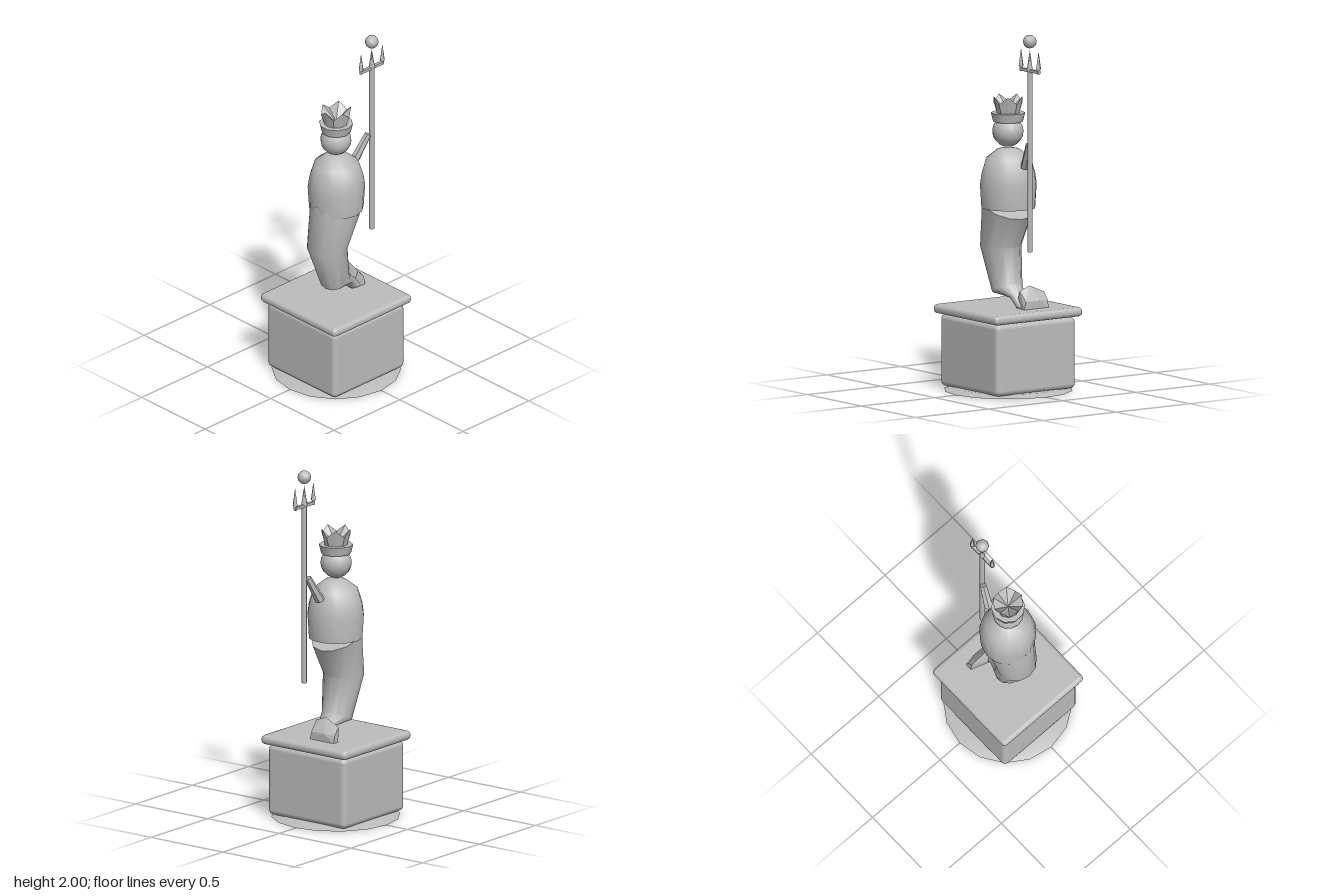
import * as THREE from 'three';
import { toCreasedNormals } from 'three/addons/utils/BufferGeometryUtils.js';
import { RoundedBoxGeometry } from 'three/addons/geometries/RoundedBoxGeometry.js';
import { ConvexGeometry } from 'three/addons/geometries/ConvexGeometry.js';

const V = (x, y, z) => new THREE.Vector3(x, y, z);

// Closed skin over rings of points, listed from bottom to top, with a centre point for each end
function loft(rings, bottom, top, crease) {
  const n = rings[0].length;
  const points = [...rings.flat(), bottom, top];
  const low = points.length - 2, high = low + 1, last = (rings.length - 1) * n;
  const index = [];
  for (let i = 0; i < n; i++) {
    const j = (i + 1) % n;
    for (let r = 0; r < last; r += n) {
      index.push(r + i, r + n + i, r + j, r + j, r + n + i, r + n + j);
    }
    index.push(low, i, j, high, last + j, last + i);
  }
  const geometry = new THREE.BufferGeometry().setFromPoints(points);
  geometry.setIndex(index);
  return toCreasedNormals(geometry, crease);
}

// Ring of n points around (x, y, z); height is a rule of the angle
function ring(n, x, y, z, rx, rz, height = () => 0) {
  return Array.from({ length: n }, (_, i) => {
    const a = (i / n) * Math.PI * 2;
    return V(x + rx * Math.cos(a), y + height(a, i), z + rz * Math.sin(a));
  });
}

export function createModel() {
  const model = new THREE.Group();
  model.name = 'statue';
  const stone = new THREE.MeshStandardMaterial({ color: 0xbcbcbc, side: THREE.DoubleSide });
  stone.name = 'grey stone';

  function add(name, geometry, x = 0, y = 0, z = 0, parent = model) {
    const mesh = new THREE.Mesh(geometry, stone);
    mesh.name = name;
    mesh.position.set(x, y, z);
    parent.add(mesh);
    return mesh;
  }

  // Pedestal
  add('groundDisc', toCreasedNormals(new THREE.CylinderGeometry(0.3, 0.355, 0.018, 16), 0.6), 0, 0.009, 0);
  add('plinth', new RoundedBoxGeometry(0.54, 0.4, 0.54, 2, 0.03), -0.004, 0.212, 0);
  add('plinthCap', new RoundedBoxGeometry(0.595, 0.052, 0.595, 2, 0.024), -0.003, 0.439, 0);

  // Curved tail, with each section tilted along x
  const sections = [
    // x, y, rx, rz, slope
    [0.135, 0.472, 0.04, 0.035, 0.05],
    [0.085, 0.525, 0.035, 0.045, 0.2],
    [-0.01, 0.56, 0.073, 0.088, 0.45],
    [-0.07, 0.79, 0.112, 0.115, 0],
    [-0.01, 1.01, 0.142, 0.138, -0.36],
  ];
  const tailRings = sections.map(([x, y, rx, rz, slope]) =>
    ring(12, x, y, 0, rx, rz, (a) => slope * rx * Math.cos(a)));
  add('tail', loft(tailRings, V(0.135, 0.472, 0), V(-0.01, 1.01, 0), 0.7));

  // Tail fin: a leaning plate
  add('tailFin', new ConvexGeometry([
    V(0.1, 0.466, 0.02), V(0.19, 0.466, 0.03), V(0.19, 0.466, -0.135), V(0.15, 0.466, -0.135),
    V(0.19, 0.51, 0.02), V(0.192, 0.51, -0.07), V(0.18, 0.51, -0.135),
    V(0.14, 0.565, 0.025), V(0.14, 0.59, -0.04), V(0.145, 0.55, -0.135), V(0.13, 0.53, -0.02),
  ]));

  // Torso and head
  const torso = [[0, 1.01], [0.15, 1.01], [0.158, 1.14], [0.15, 1.2], [0.124, 1.285], [0.06, 1.335], [0, 1.345]];
  add('torso', toCreasedNormals(
    new THREE.LatheGeometry(torso.map(([r, y]) => new THREE.Vector2(r, y)), 14), 0.9));
  add('head', new THREE.SphereGeometry(0.086, 14, 10), -0.004, 1.432, 0);

  // Crown: flared band below five points around a sunken centre
  add('crownBand', toCreasedNormals(new THREE.CylinderGeometry(0.094, 0.082, 0.05, 10), 0.7), -0.003, 1.511, 0);
  const zigzag = (a, i) => (i % 2 ? 0.04 : 0);
  add('crownPoints', loft(
    [ring(10, -0.003, 1.53, 0, 0.063, 0.063), ring(10, -0.003, 1.59, 0, 0.083, 0.083, zigzag)],
    V(-0.003, 1.53, 0), V(-0.003, 1.54, 0), 0.3));

  // Arm reaching to the staff
  const from = V(0.147, 1.25, -0.007), to = V(0.222, 1.388, 0.02);
  const arm = add('arm', toCreasedNormals(new THREE.CylinderGeometry(0.02, 0.027, from.distanceTo(to), 6), 0.5));
  arm.position.copy(from).lerp(to, 0.5);
  arm.quaternion.setFromUnitVectors(V(0, 1, 0), to.clone().sub(from).normalize());

  // Three-pronged staff
  const staff = new THREE.Group();
  staff.name = 'trident';
  staff.position.set(0.24, 0, 0.03);
  model.add(staff);
  add('shaft', new THREE.CylinderGeometry(0.014, 0.014, 1.03, 8), 0, 1.31, 0, staff);
  add('crossbar', new THREE.BoxGeometry(0.17, 0.016, 0.018), 0, 1.801, 0, staff);
  add('middleTip', new THREE.ConeGeometry(0.018, 0.11, 6), 0, 1.86, 0, staff);
  for (const side of [-1, 1]) {
    add('prong', new THREE.CylinderGeometry(0.008, 0.008, 0.05, 6), side * 0.081, 1.815, 0, staff);
    add('prongTip', toCreasedNormals(new THREE.ConeGeometry(0.017, 0.1, 4), 0.3), side * 0.081, 1.867, 0, staff);
  }
  add('finial', new THREE.SphereGeometry(0.038, 8, 6), 0, 1.962, 0, staff);

  return model;
}
